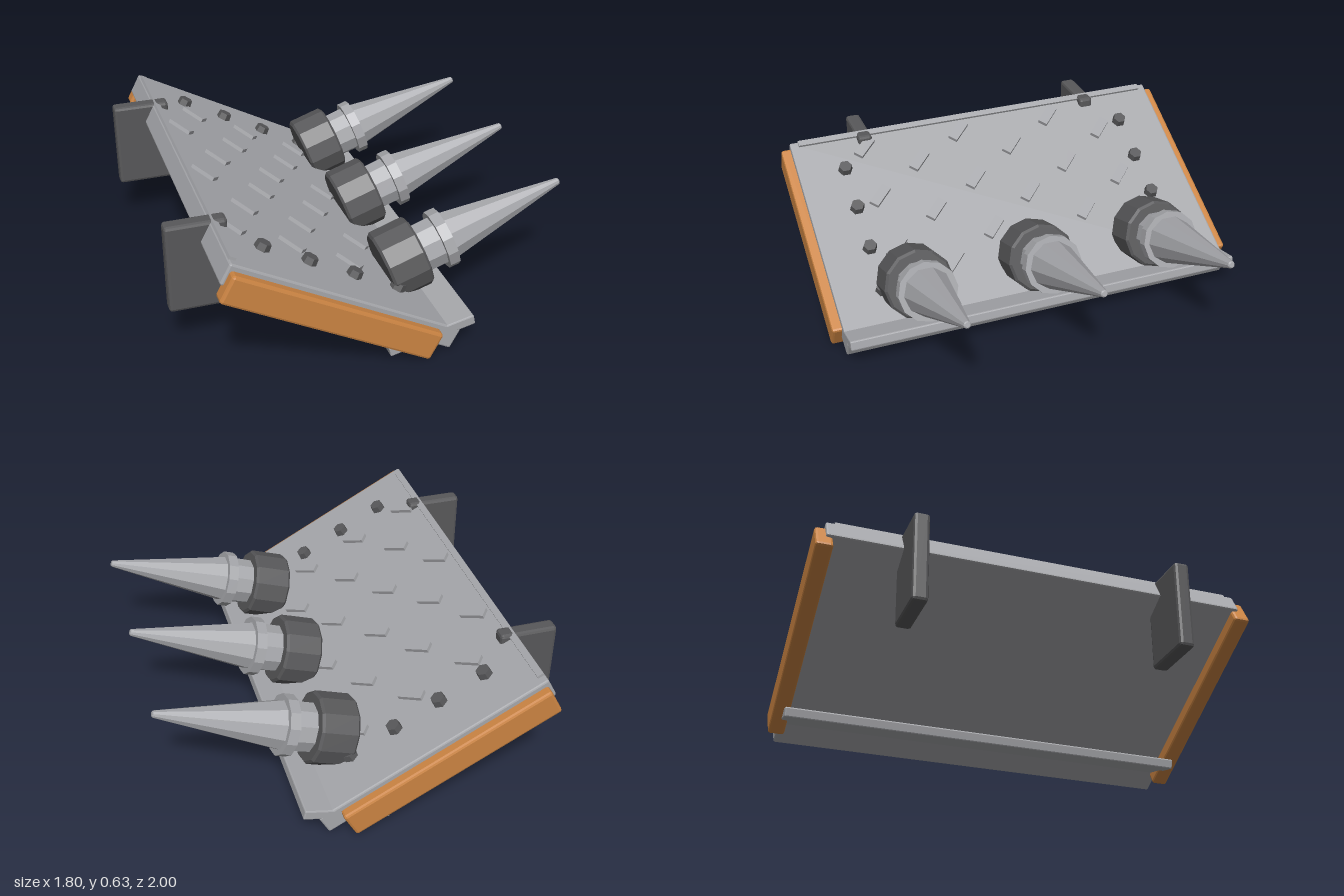
import * as THREE from 'three';
import { RoundedBoxGeometry } from 'three/addons/geometries/RoundedBoxGeometry.js';

const paint = (name, color) => {
  const m = new THREE.MeshStandardMaterial({ color, flatShading: true });
  m.name = name;
  return m;
};

export function createModel() {
  const steel = paint('steel grey', 0xa6a7ab);
  const dark = paint('dark iron', 0x58585a);
  const orange = paint('orange paint', 0xcb8442);

  const model = new THREE.Group();
  model.name = 'spikedRam';

  const add = (parent, name, geometry, material, x = 0, y = 0, z = 0) => {
    const mesh = new THREE.Mesh(geometry, material);
    mesh.name = name;
    mesh.position.set(x, y, z);
    parent.add(mesh);
    return mesh;
  };
  // Box with a small chamfer on every edge
  const chamferBox = (w, h, d, r = 0.01) => new RoundedBoxGeometry(w, h, d, 1, r);

  // Sloping plate; everything fixed to it shares its tilted frame
  const ramp = new THREE.Group();
  ramp.name = 'ramp';
  ramp.position.set(-0.235, 0.318, 0);
  ramp.rotation.z = -THREE.MathUtils.degToRad(28.2);
  model.add(ramp);
  add(ramp, 'plate', chamferBox(1.125, 0.1, 1.91, 0.008), steel);
  add(ramp, 'topLip', new THREE.BoxGeometry(0.03, 0.03, 1.83), steel, -0.545, 0.047, 0);

  // Side rails and rows of hexagonal bolts
  const boltGeometry = new THREE.CylinderGeometry(0.032, 0.037, 0.045, 6);
  for (const side of [1, -1]) {
    add(ramp, 'sideRail', chamferBox(1.017, 0.132, 0.075, 0.012), orange, -0.04, -0.042, side * 0.9625);
    for (let i = 0; i < 4; i++) {
      add(ramp, 'bolt', boltGeometry, dark, -0.355 + i * 0.227, 0.06, side * 0.73);
    }
  }

  // Staggered diagonal tread bars
  const treadGeometry = new THREE.BoxGeometry(0.12, 0.03, 0.047);
  for (let row = 0; row < 6; row++) {
    const start = row % 2 ? -0.46 : -0.328;
    for (let i = 0; i < 3; i++) {
      const tread = add(ramp, 'tread', treadGeometry, steel, start + i * 0.292, 0.053, -0.608 + row * 0.243);
      tread.rotation.y = -Math.PI / 4;
    }
  }

  // Cutting blade along the lower edge
  const blade = add(model, 'blade', chamferBox(0.395, 0.046, 1.91, 0.006), steel, 0.155, 0.091, 0);
  blade.rotation.z = THREE.MathUtils.degToRad(12.5);

  // Mounting brackets behind the plate
  for (const side of [1, -1]) {
    add(model, 'mountBracket', chamferBox(0.265, 0.41, 0.07, 0.014), dark, -0.7675, 0.428, side * 0.593);
  }

  // Spikes: lathed along local y, then leaned forward
  const lathe = (points, sides) =>
    new THREE.LatheGeometry(points.map(([r, y]) => new THREE.Vector2(r, y)), sides);
  const baseGeometry = lathe([[0, -0.295], [0.152, -0.295], [0.163, -0.284], [0.163, -0.126], [0.152, -0.115], [0, -0.115]], 12);
  const coneGeometry = lathe([[0, -0.13], [0.112, -0.13], [0.114, 0.01], [0.016, 0.588], [0.011, 0.593], [0, 0.593]], 10);
  const collarGeometry = lathe([[0, -0.024], [0.137, -0.024], [0.137, 0.024], [0, 0.024]], 12);
  for (const z of [-0.593, 0, 0.593]) {
    const spike = new THREE.Group();
    spike.name = 'spike';
    spike.position.set(0.337, 0.335, z);
    spike.rotation.z = THREE.MathUtils.degToRad(19) - Math.PI / 2;
    model.add(spike);
    add(spike, 'spikeBase', baseGeometry, dark);
    add(spike, 'spikeCone', coneGeometry, steel);
    add(spike, 'spikeCollar', collarGeometry, steel);
  }

  return model;
}
